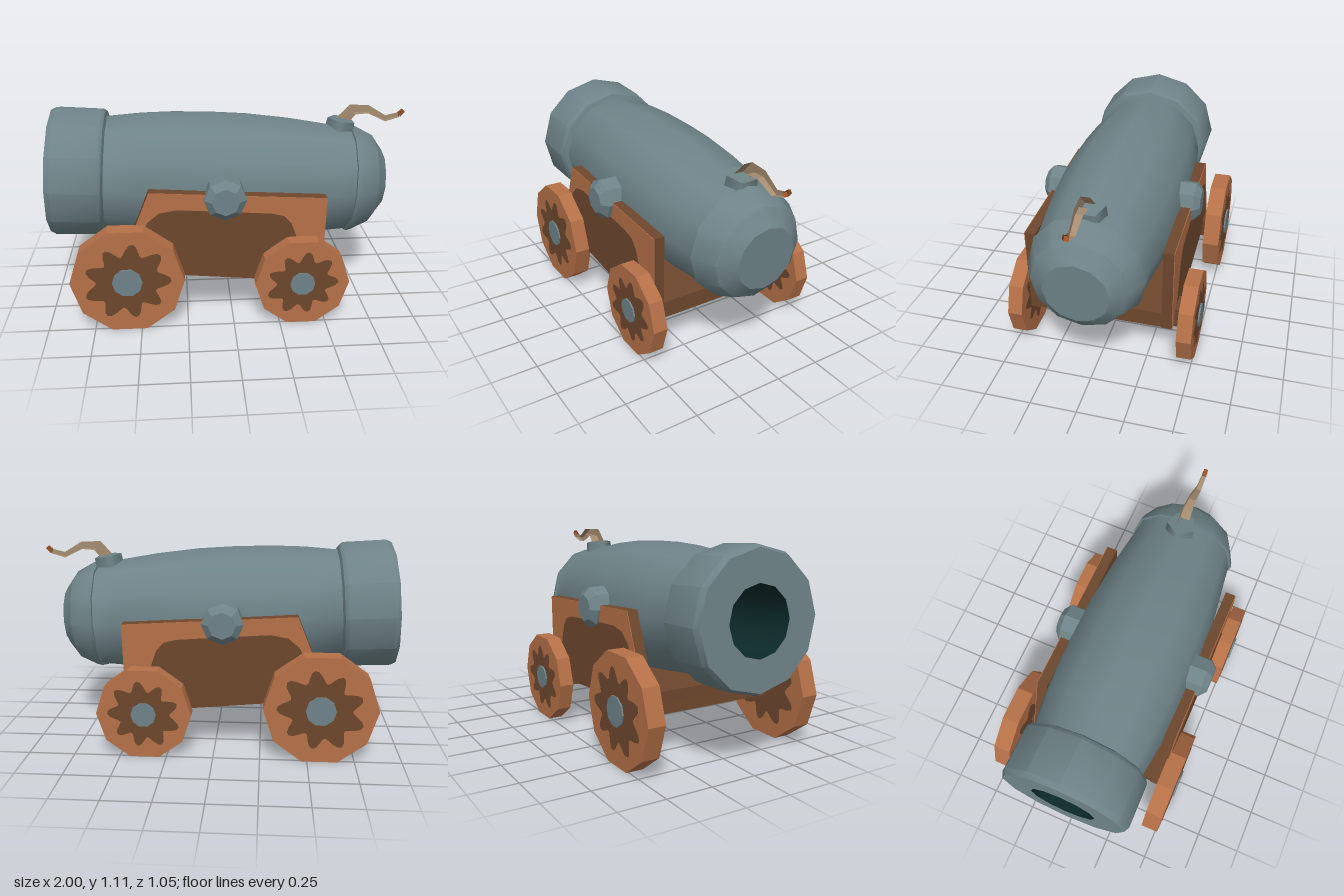
import * as THREE from 'three';
import { toCreasedNormals } from 'three/addons/utils/BufferGeometryUtils.js';

const mat = (name, color) => {
  const m = new THREE.MeshStandardMaterial({ color });
  m.name = name;
  return m;
};
const iron = mat('iron', 0x6e8388);
const boreDark = mat('bore dark', 0x0d2a2a);
const wood = mat('light wood', 0xb57047);
const darkWood = mat('dark wood', 0x6e472d);
const rope = mat('rope', 0xa58c70);
const ember = mat('ember', 0x9a5228);

const MID = 0.022; // barrel and carriage centre line in z

function add(parent, name, geometry, material) {
  const mesh = new THREE.Mesh(geometry, material);
  mesh.name = name;
  parent.add(mesh);
  return mesh;
}

const vecs = (pts) => pts.map(([x, y]) => new THREE.Vector2(x, y));

// flat outline in x/y, extruded from z0 to z1
function slab(points, z0, z1) {
  const shape = new THREE.Shape(vecs(points));
  return new THREE.ExtrudeGeometry(shape, { depth: z1 - z0, bevelEnabled: false }).translate(0, 0, z0);
}

// round body along +x from [radius, distance] pairs
function turned(profile, sides) {
  const g = new THREE.LatheGeometry(vecs(profile), sides).rotateZ(-Math.PI / 2);
  return toCreasedNormals(g, 0.62);
}

// regular polygon disc facing z, first vertex on +x
function disc(radius, sides, z0, z1) {
  const pts = [];
  for (let i = 0; i < sides; i++) {
    const a = (i / sides) * Math.PI * 2;
    pts.push([radius * Math.cos(a), radius * Math.sin(a)]);
  }
  return slab(pts, z0, z1);
}

// wavy painted patch around the hub
function patch(radius, z0, z1) {
  const pts = [];
  for (let i = 0; i < 72; i++) {
    const a = (i / 72) * Math.PI * 2;
    const r = radius * (0.83 + 0.15 * Math.sin(9 * a + 1.4) + 0.05 * Math.sin(2 * a + 0.6));
    pts.push([r * Math.cos(a), r * Math.sin(a)]);
  }
  return slab(pts, z0, z1);
}

function wheel(name, x, y, radius, z0, z1, side) {
  const g = new THREE.Group();
  g.name = name;
  g.position.set(x, y, 0);
  const place = (a, b) => (side > 0 ? [a, b] : [-b, -a]);
  add(g, 'wheelRim', disc(radius, 10, ...place(z0, z1)), wood);
  add(g, 'wheelPatchOuter', patch(radius * 0.76, ...place(z1, z1 + 0.003)), darkWood);
  add(g, 'wheelPatchInner', patch(radius * 0.76, ...place(z0 - 0.003, z0)), darkWood);
  add(g, 'wheelHub', disc(radius * 0.265, 10, ...place(z1, z1 + 0.012)), iron);
  return g;
}

// tapering square rope along a path of [x, y, halfWidth]
function ropeGeometry(path) {
  const pos = [], idx = [];
  path.forEach(([x, y, r], i) => {
    const a = path[Math.max(i - 1, 0)], b = path[Math.min(i + 1, path.length - 1)];
    const len = Math.hypot(b[0] - a[0], b[1] - a[1]);
    const nx = -(b[1] - a[1]) / len, ny = (b[0] - a[0]) / len;
    for (const [u, v] of [[1, 1], [1, -1], [-1, -1], [-1, 1]]) pos.push(x + nx * r * u, y + ny * r * u, r * v);
    if (i === 0) return;
    for (let k = 0; k < 4; k++) {
      const p = (i - 1) * 4 + k, q = (i - 1) * 4 + ((k + 1) % 4);
      idx.push(p, q, p + 4, q, q + 4, p + 4);
    }
  });
  const e = (path.length - 1) * 4;
  idx.push(0, 2, 1, 0, 3, 2, e, e + 1, e + 2, e, e + 2, e + 3);
  const g = new THREE.BufferGeometry();
  g.setAttribute('position', new THREE.Float32BufferAttribute(pos, 3));
  g.setIndex(idx);
  return toCreasedNormals(g, 0.3);
}

export function createModel() {
  const model = new THREE.Group();
  model.name = 'cannon';

  // barrel, tilted with the muzzle up
  const barrel = new THREE.Group();
  barrel.name = 'barrel';
  barrel.position.set(-0.98, 0.75, MID);
  barrel.rotation.z = -0.054;
  model.add(barrel);
  add(barrel, 'barrelBody', turned([
    [0.18, 0], [0.345, 0], [0.361, 0.03], [0.358, 0.27], [0.345, 0.29], [0.318, 0.3],
    [0.342, 0.48], [0.356, 0.66], [0.361, 0.88], [0.358, 1.08], [0.34, 1.32], [0.312, 1.54], [0.298, 1.66],
  ], 12), iron);
  add(barrel, 'breech', turned([
    [0.28, 1.655], [0.312, 1.66], [0.304, 1.69], [0.255, 1.79], [0.24, 1.8], [0.17, 1.855], [0, 1.855],
  ], 12), iron);
  add(barrel, 'bore', turned([[0, 0.6], [0.18, 0.6], [0.18, 0]], 12), boreDark);

  // vent block and fuse
  const vent = add(model, 'ventBlock', new THREE.CylinderGeometry(0.08, 0.085, 0.07, 5).rotateY(-Math.PI / 2), iron);
  vent.position.set(0.635, 0.97, MID - 0.01);
  vent.rotation.z = -0.17;
  const fuse = add(model, 'fuse', ropeGeometry([
    [0.63, 0.98, 0.028], [0.7, 1.06, 0.025], [0.79, 1.06, 0.019], [0.89, 1.005, 0.014], [0.965, 1.025, 0.011],
  ]), rope);
  const tip = add(model, 'fuseTip', ropeGeometry([[0.965, 1.025, 0.012], [0.99, 1.05, 0.01]]), ember);
  fuse.position.z = tip.position.z = MID - 0.006;

  // trunnions through the cheeks
  const trunnion = new THREE.LatheGeometry(vecs([
    [0, -0.455], [0.073, -0.455], [0.113, -0.42], [0.113, 0.42], [0.073, 0.455], [0, 0.455],
  ]), 8).rotateX(Math.PI / 2);
  add(model, 'trunnions', toCreasedNormals(trunnion, 0.4), iron).position.set(-0.043, 0.712, MID + 0.005);

  // carriage cheeks with painted outer faces
  const cheek = [[-0.62, 0.307], [0.485, 0.205], [0.495, 0.7], [-0.44, 0.755]];
  const paint = [[-0.56, 0.302], [0.4, 0.213], [0.36, 0.4], [0.335, 0.49], [0.31, 0.56], [0.27, 0.605], [0.2, 0.622],
    [-0.05, 0.64], [-0.3, 0.657], [-0.39, 0.64], [-0.45, 0.59], [-0.5, 0.5]];
  for (const side of [1, -1]) {
    const name = side > 0 ? 'left' : 'right';
    const place = (a, b) => (side > 0 ? [MID + a, MID + b] : [MID - b, MID - a]);
    add(model, name + 'Cheek', slab(cheek, ...place(0.345, 0.403)), darkWood);
    add(model, name + 'CheekFace', slab(cheek, ...place(0.403, 0.406)), wood);
    add(model, name + 'CheekPaint', slab(paint, ...place(0.406, 0.409)), darkWood);
    model.add(wheel(name + 'MuzzleWheel', -0.565, 0.29, 0.302, 0.42, 0.515, side));
    model.add(wheel(name + 'BreechWheel', 0.367, 0.243, 0.254, 0.428, 0.508, side));
  }

  // bed and axles
  const bed = [[-0.615, 0.307], [0.48, 0.206], [0.48, 0.3], [-0.615, 0.365]];
  add(model, 'bed', slab(bed, MID - 0.346, MID + 0.346), darkWood);
  for (const [name, x, y] of [['muzzleAxle', -0.513, 0.288], ['breechAxle', 0.365, 0.24]]) {
    const axle = add(model, name, new THREE.BoxGeometry(0.12, 0.12, 0.86), darkWood);
    axle.position.set(x, y, 0);
    axle.rotation.z = -0.054;
  }
  return model;
}
